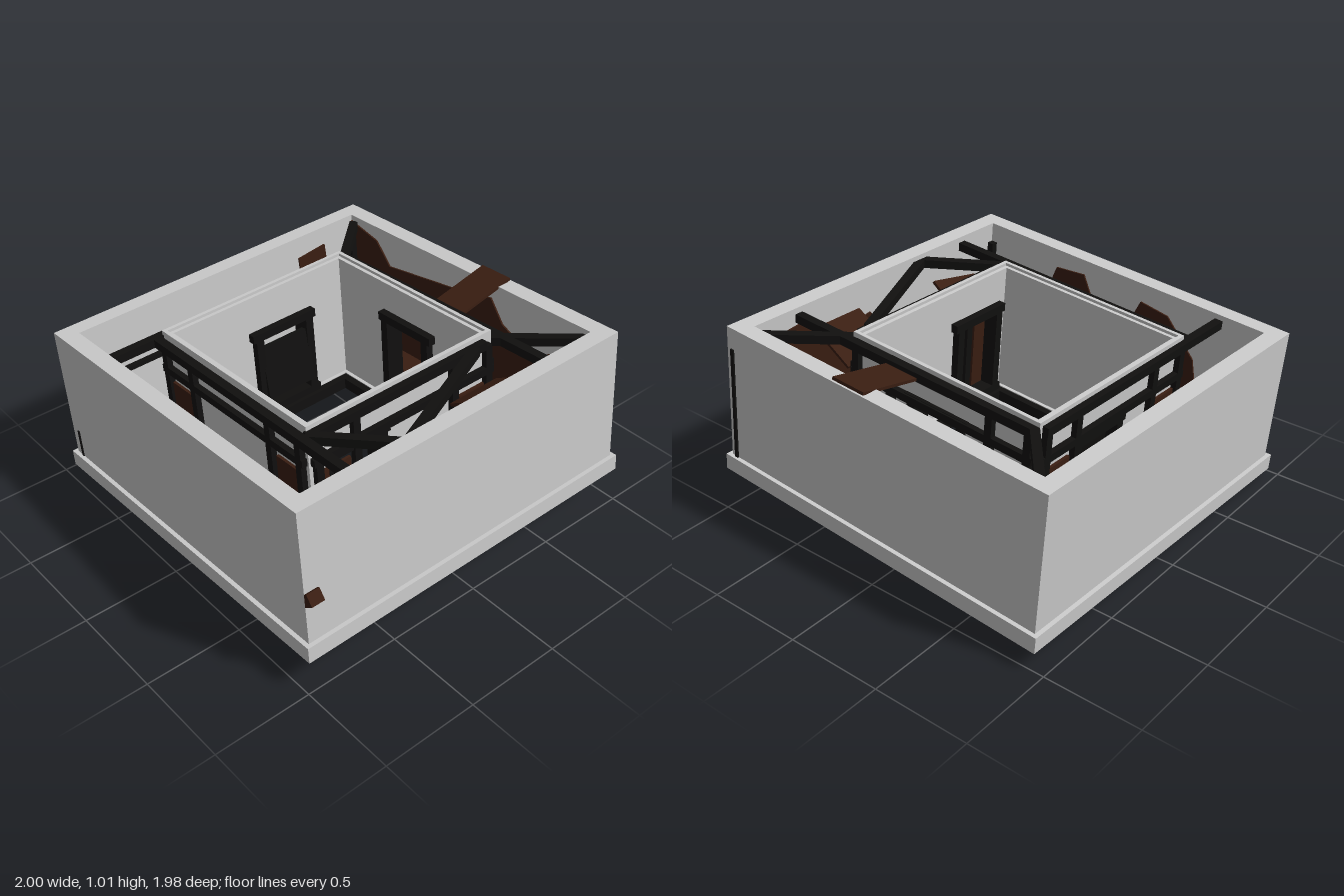
import * as THREE from 'three';

const GREY = new THREE.MeshStandardMaterial({ color: 0xcccccc, flatShading: true });
const TIMBER = new THREE.MeshStandardMaterial({ color: 0x11100f, flatShading: true });
const BROWN = new THREE.MeshStandardMaterial({ color: 0x3a1e12, flatShading: true, side: THREE.DoubleSide });
const BROWN_THIN = new THREE.MeshStandardMaterial({ color: 0x3a1e12 });

export function createModel() {
  const house = new THREE.Group();
  house.name = 'ruinedCourtyardHouse';

  function add(geometry, material, name, x = 0, y = 0, z = 0, parent = house) {
    const mesh = new THREE.Mesh(geometry, material);
    mesh.name = name;
    mesh.position.set(x, y, z);
    parent.add(mesh);
    return mesh;
  }
  const box = (name, mat, w, h, d, x, y, z, parent) =>
    add(new THREE.BoxGeometry(w, h, d), mat, name, x, y, z, parent);

  // Polygon shape from [x, y] pairs
  const poly = (pts) => new THREE.Shape(pts.map(([x, y]) => new THREE.Vector2(x, y)));
  const rect = (x0, y0, x1, y1) => [[x0, y0], [x1, y0], [x1, y1], [x0, y1]];
  const plate = (pts, depth, holes = []) => {
    const shape = poly(pts);
    holes.forEach((h) => shape.holes.push(poly(h)));
    return new THREE.ExtrudeGeometry(shape, { depth, bevelEnabled: false });
  };
  // Horizontal plate: points are [x, z], bottom at y
  function flat(name, mat, pts, y, depth, holes) {
    const geometry = plate(pts, depth, holes);
    geometry.rotateX(Math.PI / 2);
    return add(geometry, mat, name, 0, y + depth, 0);
  }
  // Square timber between two points
  function beam(name, a, b, t = 0.045) {
    const from = new THREE.Vector3(...a), to = new THREE.Vector3(...b);
    const m = box(name, TIMBER, t, t, from.distanceTo(to), 0, 0, 0);
    m.position.copy(from).add(to).multiplyScalar(0.5);
    m.lookAt(to);
    return m;
  }

  // Outer walls and the trim around their foot, as square rings
  const ring = (r) => rect(-r, -r, r, r);
  flat('outerWalls', GREY, ring(0.955), 0.05, 0.75, [ring(0.865)]);
  flat('baseTrim', GREY, ring(0.977), 0, 0.085, [ring(0.93)]);

  // Floor slab with the courtyard opening
  const cx = -0.04;
  const hole = rect(cx - 0.5, -0.5, cx + 0.5, 0.5);
  flat('floorSlab', GREY, ring(0.94), 0.045, 0.04, [hole]);

  // Timber frame round the courtyard opening, with crossing ends
  for (const s of [-1, 1]) {
    box('openingFrameSide', TIMBER, 0.06, 0.06, 1.12, cx + s * 0.49, 0.05, 0);
    box('openingFrameEnd', TIMBER, 1.12, 0.06, 0.06, cx, 0.05, s * 0.49);
  }
  box('openingFrameStub', TIMBER, 0.12, 0.05, 0.07, cx + 0.56, 0.05, -0.49);

  // Courtyard walls: each is drawn facing the court, with an optional doorway
  const H = 0.78, Y0 = 0.07;
  function courtWall(name, angle, door) {
    const wall = new THREE.Group();
    wall.name = name;
    wall.position.set(cx, 0, 0);
    wall.rotation.y = angle;
    house.add(wall);
    const holes = [];
    if (door) {
      const [a, b, lo, hi] = door;
      holes.push(rect(a, lo, b, hi));
      const mid = (a + b) / 2, z = -0.53;
      for (const x of [a, b]) box('doorPost', TIMBER, 0.045, hi - lo + 0.04, 0.1, x, (lo + hi) / 2, z, wall);
      for (const y of [lo, hi]) box('doorRail', TIMBER, b - a + 0.08, 0.045, 0.1, mid, y, z, wall);
    }
    add(plate(rect(-0.56, Y0, 0.56, H), 0.04, holes), GREY, 'courtWallPanel', 0, 0, -0.56, wall);
    // raised rim along the top
    box('courtWallRim', GREY, 1.12, 0.02, 0.02, 0, H + 0.005, -0.55, wall);
    // timber uprights on the passage side
    for (const x of [-0.52, -0.3, 0.3, 0.52]) box('passagePost', TIMBER, 0.04, H - 0.12, 0.03, x, 0.41, -0.575, wall);
    box('passageRail', TIMBER, 1.1, 0.04, 0.03, 0, 0.6, -0.575, wall);
    // brown boarding between the uprights
    for (const x of [-0.42, 0.42]) box('passageBoarding', BROWN, 0.17, 0.42, 0.015, x, 0.32, -0.568, wall);
    return wall;
  }
  courtWall('courtWallBack', 0, [-0.13, 0.17, 0.1, 0.6]);
  courtWall('courtWallLowSide', Math.PI / 2, [-0.05, 0.27, 0.1, 0.56]);
  courtWall('courtWallHighSide', -Math.PI / 2, [0.14, 0.44, 0.1, 0.58]);
  courtWall('courtWallFront', Math.PI, null);
  // shutter leaning into the court
  box('doorShutter', TIMBER, 0.03, 0.3, 0.3, cx - 0.49, 0.33, -0.11).rotation.z = 0.12;

  // Roof timbers over the passage: x0, z0, x1, z1, height
  const top = 0.75;
  [
    [-0.84, -0.86, -0.57, -0.56], [0.87, -0.88, 0.53, -0.55],
    [-0.6, -0.575, 0.86, -0.59], [-0.6, 0.595, 0.86, 0.6],
    [-0.61, -0.54, -0.61, 0.87], [0.535, -0.5, 0.535, 0.57],
    [0.55, -0.43, 0.87, 0.29], [0.87, 0.29, 0.53, 0.57],
  ].forEach(([x0, z0, x1, z1]) => beam('roofBeam', [x0, top, z0], [x1, top, z1]));
  beam('wallPlate', [-0.85, 0.5, -0.1], [-0.85, 0.5, 0.86], 0.025);
  // corner posts standing in the passage
  for (const x of [-0.84, 0.84]) for (const z of [-0.84, 0.84])
    box('cornerPost', TIMBER, 0.035, 0.62, 0.035, x, 0.39, z);

  // Brown floor boards left in the passage
  [
    [[-0.86, -0.86], [0.86, -0.86], [0.86, -0.56], [-0.86, -0.56]],
    [[0.53, -0.56], [0.86, -0.56], [0.86, 0.86], [0.53, 0.86]],
    [[-0.86, -0.56], [-0.61, -0.56], [-0.61, -0.02], [-0.76, 0.05], [-0.86, 0.0]],
    [[-0.79, 0.1], [-0.69, 0.14], [-0.74, 0.31], [-0.84, 0.28]],
    [[-0.86, 0.56], [-0.72, 0.41], [-0.61, 0.5], [-0.61, 0.62], [-0.73, 0.69], [-0.77, 0.86], [-0.86, 0.86]],
    [[-0.61, 0.82], [-0.44, 0.79], [-0.37, 0.62], [-0.2, 0.6], [-0.25, 0.78], [0.54, 0.66], [0.54, 0.86], [-0.61, 0.86]],
  ].forEach((pts, i) => flat('floorBoards', BROWN, pts, 0.086 + i * 0.001, 0.012));

  // Jagged brown lining on the inside of the outer walls
  function lining(name, angle, pts) {
    const geometry = plate(pts, 0.012);
    geometry.translate(0, 0, -0.868);
    add(geometry, BROWN, name).rotation.y = angle;
  }
  lining('backLining', 0, [[-0.86, 0.1], [0.86, 0.1], [0.86, 0.7], [0.5, 0.5], [0.3, 0.6],
    [0.22, 0.72], [0.05, 0.68], [-0.55, 0.6], [-0.65, 0.72], [-0.86, 0.77]]);
  lining('frontLining', Math.PI, [[-0.86, 0.1], [0.6, 0.1], [0.5, 0.5], [0.32, 0.68], [0.15, 0.7],
    [0.05, 0.45], [-0.1, 0.5], [-0.22, 0.72], [-0.4, 0.7], [-0.5, 0.4], [-0.86, 0.3]]);
  lining('lowSideLining', Math.PI / 2, [[0.5, 0.42], [0.68, 0.45], [0.66, 0.7], [0.48, 0.68]]);
  lining('highSideLining', -Math.PI / 2, [[-0.86, 0.1], [0.7, 0.1], [0.5, 0.42], [0.1, 0.36],
    [-0.1, 0.6], [-0.35, 0.55], [-0.5, 0.72], [-0.86, 0.68]]);

  // Roof boards still leaning between the walls
  const leaning = (x, z, w, d, rx, rz, y) =>
    box('leaningRoofBoard', BROWN, w, 0.015, d, x, y, z).rotation.set(rx, 0, rz);
  leaning(0.17, -0.77, 0.19, 0.36, 0.2, 0, 0.775);
  leaning(0.7, -0.38, 0.26, 0.3, 0, 0.5, 0.62);
  leaning(-0.74, -0.3, 0.2, 0.6, 0, -0.6, 0.5);
  leaning(0.74, 0.5, 0.2, 0.34, 0.2, 0.5, 0.55);

  // Splinters poking through the shell
  box('sideSplinter', BROWN, 0.08, 0.06, 0.07, 0.955, 0.33, 0.92).rotation.z = 0.6;
  box('backCornerSplit', TIMBER, 0.02, 0.62, 0.012, 0.92, 0.38, -0.957);
  box('frontCornerSplit', TIMBER, 0.015, 0.2, 0.008, -0.9, 0.14, 0.956);
  box('underSplinter', BROWN, 0.04, 0.03, 0.05, 0.76, 0.0, 0.8).rotation.z = 0.6;
  // thin slat hanging below the low edge
  const slat = add(new THREE.PlaneGeometry(0.4, 0.045), BROWN_THIN, 'hangingSlat', -0.925, -0.012, 0.75);
  slat.rotation.set(0, Math.PI / 2, 0.06);

  // The whole house has sunk and leans
  house.rotation.set(0.024, -0.01, 0.066);
  house.position.set(0.022, 0.11, -0.005);
  const model = new THREE.Group();
  model.name = 'model';
  model.add(house);
  return model;
}
